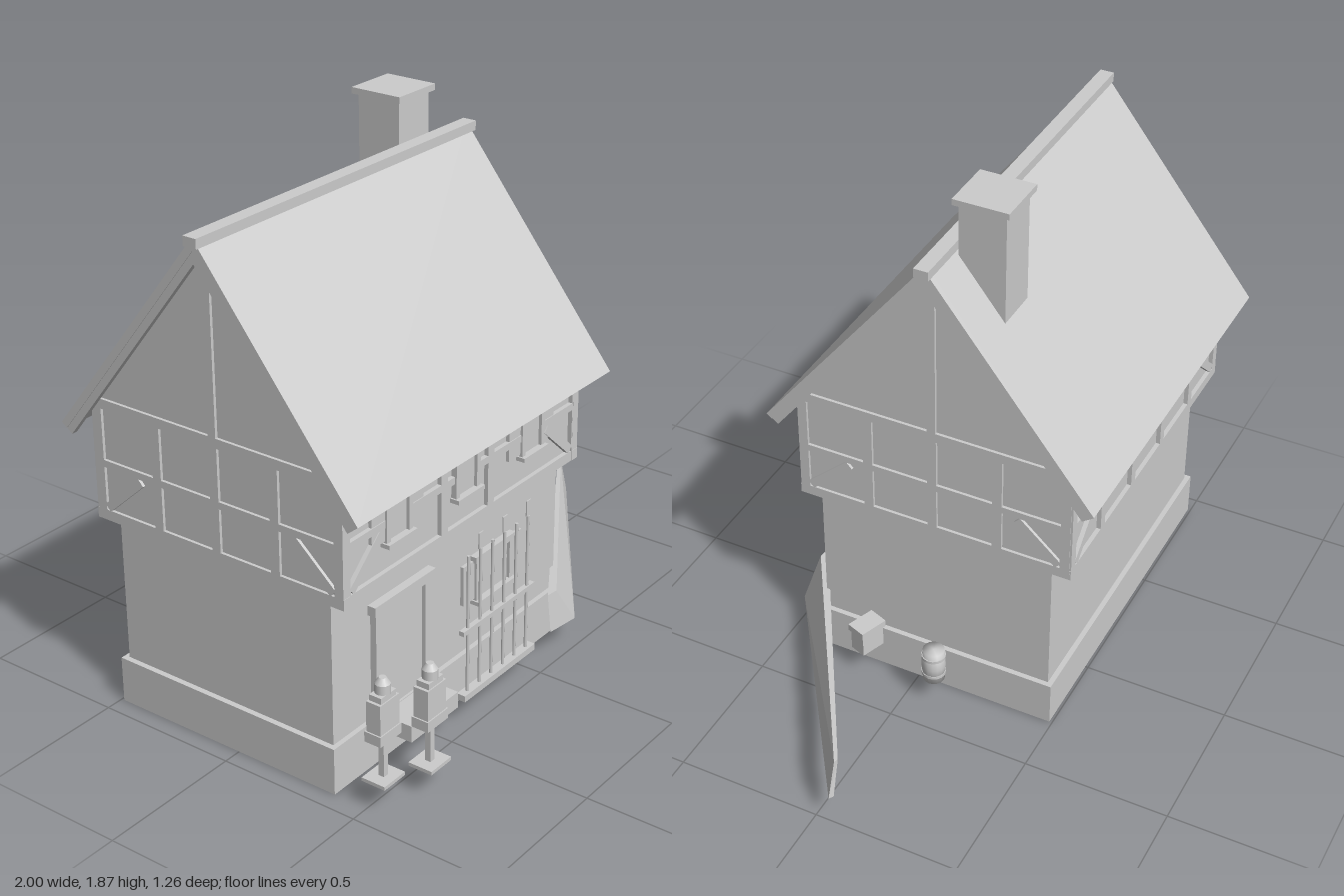
import * as THREE from 'three';

const plaster = new THREE.MeshStandardMaterial({ color: 0xcccccc });
plaster.name = 'plain grey';

function add(parent, name, geometry, x = 0, y = 0, z = 0) {
  const mesh = new THREE.Mesh(geometry, plaster);
  mesh.name = name;
  mesh.position.set(x, y, z);
  parent.add(mesh);
  return mesh;
}

// Box given by its minimum and maximum on each axis
function block(parent, name, x0, x1, y0, y1, z0, z1) {
  return add(parent, name, new THREE.BoxGeometry(x1 - x0, y1 - y0, z1 - z0),
    (x0 + x1) / 2, (y0 + y1) / 2, (z0 + z1) / 2);
}

function cyl(parent, name, rTop, rBottom, y0, y1, x, z, sides = 12) {
  return add(parent, name, new THREE.CylinderGeometry(rTop, rBottom, y1 - y0, sides), x, (y0 + y1) / 2, z);
}

function subgroup(parent, name, x = 0, y = 0, z = 0, turn = 0) {
  const g = new THREE.Group();
  g.name = name;
  g.position.set(x, y, z);
  g.rotation.y = turn;
  parent.add(g);
  return g;
}

const MID_X = -0.3225, MID_Z = -0.055;

// Profile in the (z, y) plane, swept along x
function sweep(parent, name, points, x0, x1) {
  const shape = new THREE.Shape(points.map(p => new THREE.Vector2(...p)));
  const geo = new THREE.ExtrudeGeometry(shape, { depth: x1 - x0, bevelEnabled: false });
  geo.rotateY(Math.PI / 2);
  return add(parent, name, geo, x0, 0, MID_Z);
}

// Roof section: two slopes of the given thickness
function chevron(t) {
  const ez = 0.575 - 0.786 * t, ey = 0.976 - 0.619 * t;
  return [[0, 1.706], [-0.575, 0.976], [-ez, ey], [0, 1.706 - t / 0.619], [ez, ey], [0.575, 0.976]];
}

// Timber between two points of a facade
function timber(parent, name, u0, y0, u1, y1, w = 0.033) {
  const len = Math.hypot(u1 - u0, y1 - y0);
  const m = add(parent, name, new THREE.BoxGeometry(len, w, 0.03), (u0 + u1) / 2, (y0 + y1) / 2, 0);
  m.rotation.z = Math.atan2(y1 - y0, u1 - u0);
}

// Half-timbered storey wall: sill, top plate, posts, rails and corner braces
function facade(parent, name, x, z, turn, half, posts, rails) {
  const g = subgroup(parent, name, x, 0, z, turn);
  timber(g, 'sillBeam', -half, 0.674, half, 0.674, 0.036);
  timber(g, 'topPlate', -half, 1.055, half, 1.055);
  for (const u of [-half + 0.018, ...posts, half - 0.018]) timber(g, 'post', u, 0.69, u, 1.04);
  for (const [a, b] of rails) timber(g, 'midRail', a, 0.852, b, 0.852, 0.024);
  for (const s of [-1, 1]) timber(g, 'brace', s * (half - 0.04), 0.70, s * (half - 0.185), 0.83, 0.03);
  return g;
}

// Framed window with optional open shutters, built around its centre
function framedWindow(parent, name, x, y, z, w, h, shutter) {
  const g = subgroup(parent, name, x, y, z);
  block(g, 'pane', -w / 2, w / 2, -h / 2, h / 2, -0.01, 0.006);
  for (const s of [-1, 1]) {
    const c = s * (w / 2 - 0.007);
    block(g, 'jamb', c - 0.009, c + 0.009, -h / 2, h / 2, -0.01, 0.017);
    if (shutter) {
      const o = s * (w / 2 + shutter / 2);
      block(g, 'shutter', o - shutter / 2, o + shutter / 2, -h / 2 + 0.02, h / 2 - 0.016, -0.005, 0.009);
    }
  }
  block(g, 'windowHead', -w / 2 - 0.01, w / 2 + 0.01, h / 2 - 0.022, h / 2, -0.01, 0.021);
  block(g, 'windowSill', -w / 2 - 0.008, w / 2 + 0.008, -h / 2, -h / 2 + 0.014, -0.01, 0.03);
}

function dummy(parent, x, z) {
  const g = subgroup(parent, 'trainingDummy', x, 0, z);
  block(g, 'basePlate', -0.05, 0.05, 0.092, 0.104, -0.043, 0.043);
  block(g, 'pole', -0.01, 0.01, 0.1, 0.24, -0.01, 0.01);
  block(g, 'torso', -0.046, 0.046, 0.25, 0.375, -0.026, 0.026);
  block(g, 'belt', -0.051, 0.051, 0.237, 0.272, -0.03, 0.03);
  block(g, 'shoulders', -0.036, 0.036, 0.37, 0.395, -0.022, 0.022);
  cyl(g, 'head', 0.025, 0.025, 0.39, 0.425, 0, 0);
  cyl(g, 'cap', 0.012, 0.025, 0.425, 0.445, 0, 0);
}

export function createModel() {
  const model = new THREE.Group();
  model.name = 'timberHouse';

  // Walls
  block(model, 'plinth', -0.937, 0.293, 0, 0.16, -0.49, 0.38);
  block(model, 'groundFloor', -0.918, 0.275, 0.16, 0.67, -0.472, 0.363);
  block(model, 'upperFloor', -0.93, 0.285, 0.66, 1.06, -0.53, 0.413);
  sweep(model, 'gableWall', [[-0.47, 1.06], [0.47, 1.06], [0.02, 1.635], [-0.02, 1.635]], -0.93, 0.285);

  // Timber framing
  facade(model, 'frontFraming', MID_X, 0.413, 0, 0.617, [-0.1225, 0.1225],
    [[-0.6, -0.41], [-0.29, -0.12], [-0.12, -0.07], [0.05, 0.12], [0.12, 0.29], [0.41, 0.6]]);
  facade(model, 'backFraming', MID_X, -0.53, Math.PI, 0.617, [-0.37, -0.123, 0.123, 0.37], [[-0.6, 0.6]]);
  for (const [x, turn] of [[0.28, Math.PI / 2], [-0.925, -Math.PI / 2]]) {
    const g = facade(model, 'gableFraming', x, MID_Z, turn, 0.485, [-0.23, 0, 0.23], [[-0.47, 0.47]]);
    timber(g, 'kingPost', 0, 1.07, 0, 1.625, 0.03);
  }

  // Roof
  sweep(model, 'roof', chevron(0.025), -0.985, 0.335);
  for (const x of [-0.983, 0.313]) sweep(model, 'bargeBoard', chevron(0.05), x, x + 0.02);
  block(model, 'ridgeCap', -0.995, 0.352, 1.678, 1.71, -0.08, -0.031);
  block(model, 'chimney', 0.013, 0.168, 1.3, 1.85, -0.244, -0.086);
  block(model, 'chimneyCap', -0.002, 0.185, 1.845, 1.866, -0.26, -0.072);

  // Windows
  framedWindow(model, 'upperWindow', -0.675, 0.857, 0.416, 0.122, 0.165, 0.065);
  framedWindow(model, 'upperWindow', -0.328, 0.857, 0.416, 0.122, 0.165, 0);
  framedWindow(model, 'upperWindow', 0.028, 0.857, 0.416, 0.122, 0.165, 0.065);
  framedWindow(model, 'lowerWindow', -0.105, 0.403, 0.366, 0.2, 0.175, 0.063);

  // Door
  const door = subgroup(model, 'door');
  block(door, 'doorLeaf', -0.71, -0.48, 0.16, 0.53, 0.355, 0.372);
  for (const x of [-0.733, -0.485]) block(door, 'doorPost', x, x + 0.03, 0.16, 0.53, 0.355, 0.385);
  block(door, 'lintel', -0.745, -0.44, 0.527, 0.56, 0.355, 0.392);
  block(door, 'step', -0.697, -0.455, 0.1, 0.157, 0.37, 0.49);

  // Rack of spears
  const rack = subgroup(model, 'spearRack');
  block(rack, 'rackBase', -0.412, -0.018, 0.094, 0.116, 0.455, 0.487);
  block(rack, 'rackRail', -0.412, -0.018, 0.33, 0.346, 0.462, 0.48);
  for (let i = 0; i < 6; i++) {
    const x = -0.378 + i * 0.0655, top = 0.6;
    cyl(rack, 'spearShaft', 0.006, 0.006, 0.1, top, x, 0.471, 6);
    if (i % 2) block(rack, 'spearHead', x - 0.012, x + 0.012, top, 0.655, 0.469, 0.473);
  }

  dummy(model, -0.885, 0.525);
  dummy(model, -0.74, 0.59);

  // Earth ramp tapering away from the front corner: plan points, low then high
  const low = [[0.095, 0.475], [0.22, 0.49], [1.0, -0.05], [0.985, -0.06]];
  const high = [[0.095, 0.46], [0.14, 0.465], [0.965, -0.055], [0.95, -0.06]];
  const ring = [...low.map(p => [p[0], 0.1, p[1]]), ...high.map(p => [p[0], 0.235, p[1]])];
  const faces = [0, 2, 1, 0, 3, 2, 4, 5, 6, 4, 6, 7];
  for (let i = 0; i < 4; i++) {
    const j = (i + 1) % 4;
    faces.push(i, j, j + 4, i, j + 4, i + 4);
  }
  const rampGeo = new THREE.BufferGeometry();
  rampGeo.setAttribute('position', new THREE.Float32BufferAttribute(faces.flatMap(i => ring[i]), 3));
  rampGeo.computeVertexNormals();
  add(model, 'ramp', rampGeo);

  // Barrel with a slight belly and two hoops
  const barrel = subgroup(model, 'barrel', 0.367, 0.1, -0.095);
  const profile = [[0, 0], [0.037, 0], [0.041, 0.06], [0.037, 0.125], [0, 0.125]];
  add(barrel, 'barrelBody', new THREE.LatheGeometry(profile.map(p => new THREE.Vector2(...p)), 16));
  for (const y of [0.025, 0.095]) cyl(barrel, 'hoop', 0.0415, 0.0415, y, y + 0.01, 0, 0, 16);

  // Chest beside the wall
  const chest = subgroup(model, 'chest', 0.335, 0.1, 0.175, -0.35);
  block(chest, 'chestBody', -0.045, 0.045, 0, 0.08, -0.03, 0.03);
  block(chest, 'chestLid', -0.052, 0.052, 0.08, 0.105, -0.036, 0.036);

  return model;
}
